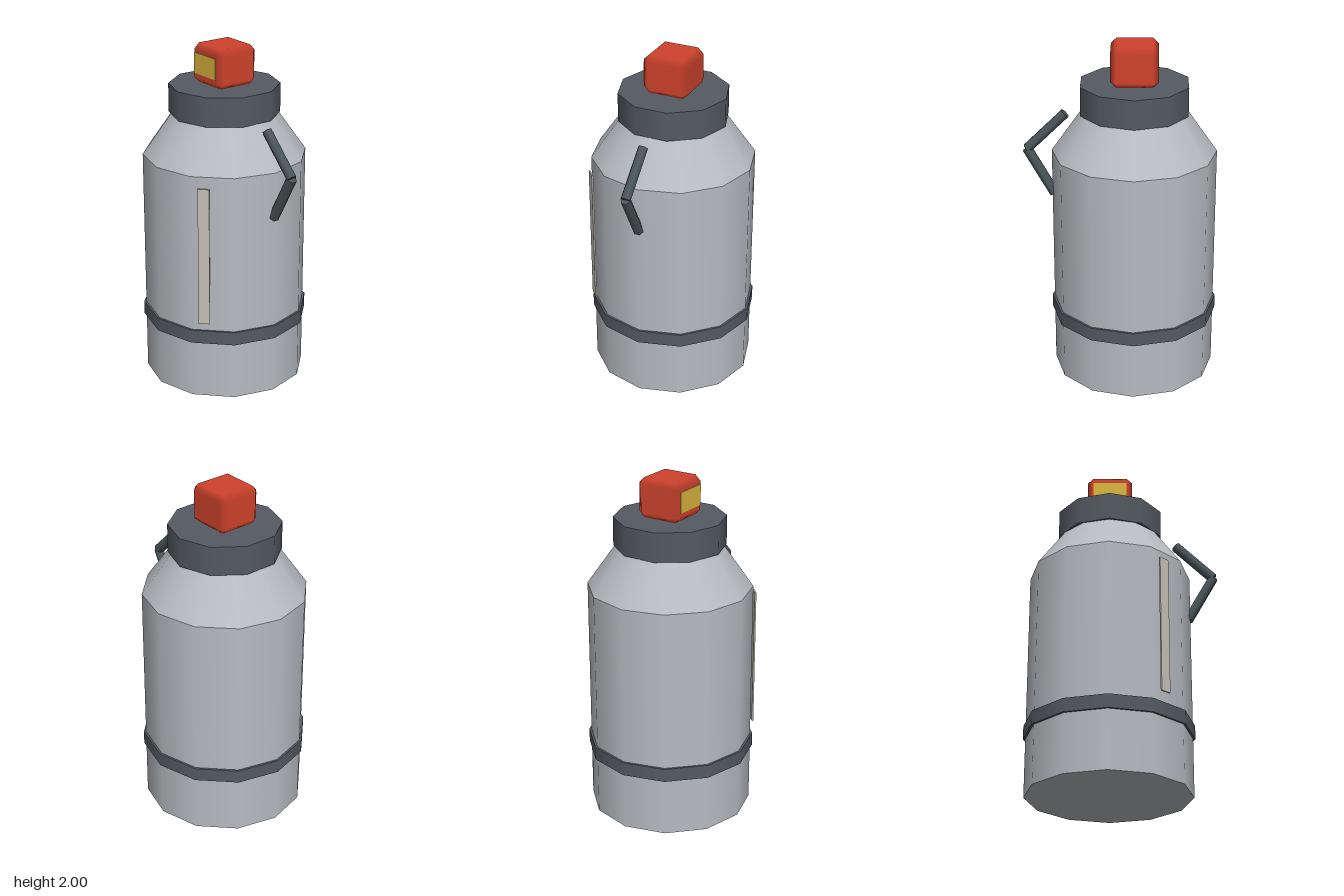
import * as THREE from 'three';
import { ConvexGeometry } from 'three/addons/geometries/ConvexGeometry.js';

const mat = (name, color) => {
  const m = new THREE.MeshStandardMaterial({ color });
  m.name = name;
  return m;
};

// Box with straight chamfers whose normals blend smoothly between the flat faces
function chamferBox(w, h, d, c) {
  const half = [w / 2, h / 2, d / 2];
  const pts = [];
  for (let axis = 0; axis < 3; axis++)
    for (const sx of [-1, 1]) for (const sy of [-1, 1]) for (const sz of [-1, 1])
      pts.push(new THREE.Vector3(...[sx, sy, sz].map((s, i) => s * (half[i] - (i === axis ? 0 : c)))));
  const geo = new ConvexGeometry(pts);
  const p = geo.attributes.position, n = geo.attributes.normal;
  for (let i = 0; i < p.count; i++) {
    const v = [p.getX(i), p.getY(i), p.getZ(i)];
    n.setXYZ(i, ...v.map((a, k) => (Math.abs(a) > half[k] - c / 2 ? Math.sign(a) : 0)));
  }
  return geo;
}

export function createModel() {
  const group = new THREE.Group();
  group.name = 'flask';
  const steel = mat('steel grey', 0xb8bcc1);
  const dark = mat('dark slate', 0x555b63);
  const grip = mat('handle grey', 0x4c575a);
  const red = mat('red', 0xd0432c);
  const yellow = mat('yellow', 0xdcb63e);
  const pale = mat('warm pale grey', 0xc6c0b6);

  const cx = -0.077; // axis of the vessel

  const add = (name, geo, material, x, y, z = 0) => {
    const m = new THREE.Mesh(geo, material);
    m.name = name;
    m.position.set(x, y, z);
    group.add(m);
    return m;
  };
  // Upright round part between two heights
  const round = (name, material, rTop, rBottom, y0, y1, sides) =>
    add(name, new THREE.CylinderGeometry(rTop, rBottom, y1 - y0, sides), material, cx, (y0 + y1) / 2);

  // Vessel
  round('body', steel, 0.475, 0.475, 0, 1.36, 12);
  round('shoulder', steel, 0.305, 0.475, 1.36, 1.602, 12);
  round('band', dark, 0.488, 0.488, 0.345, 0.425, 12);
  round('lid', dark, 0.32, 0.32, 1.6, 1.77, 10);

  // Cap block with a thin front panel
  add('capBlock', chamferBox(0.27, 0.23, 0.27, 0.033), red, cx, 1.885);
  add('capPanel', new THREE.BoxGeometry(0.2, 0.12, 0.008), yellow, cx, 1.89, 0.135);

  // Level strip on the front left of the body
  const strip = add('levelStrip', new THREE.BoxGeometry(0.065, 0.82, 0.009), pale, 0.235, 0.89, 0.376);
  strip.rotation.y = 0.75;

  // Bent handle of two hexagonal bars
  const path = [[0.318, 1.583], [0.54, 1.367], [0.387, 1.092]].map(([x, y]) => new THREE.Vector3(x, y, 0));
  ['handleUpper', 'handleLower'].forEach((name, i) => {
    const dir = path[i].clone().sub(path[i + 1]);
    const mid = path[i].clone().add(path[i + 1]).multiplyScalar(0.5);
    const bar = add(name, new THREE.CylinderGeometry(0.03, 0.03, dir.length(), 6), grip, mid.x, mid.y);
    bar.rotation.z = Math.atan2(-dir.x, dir.y);
  });

  return group;
}
